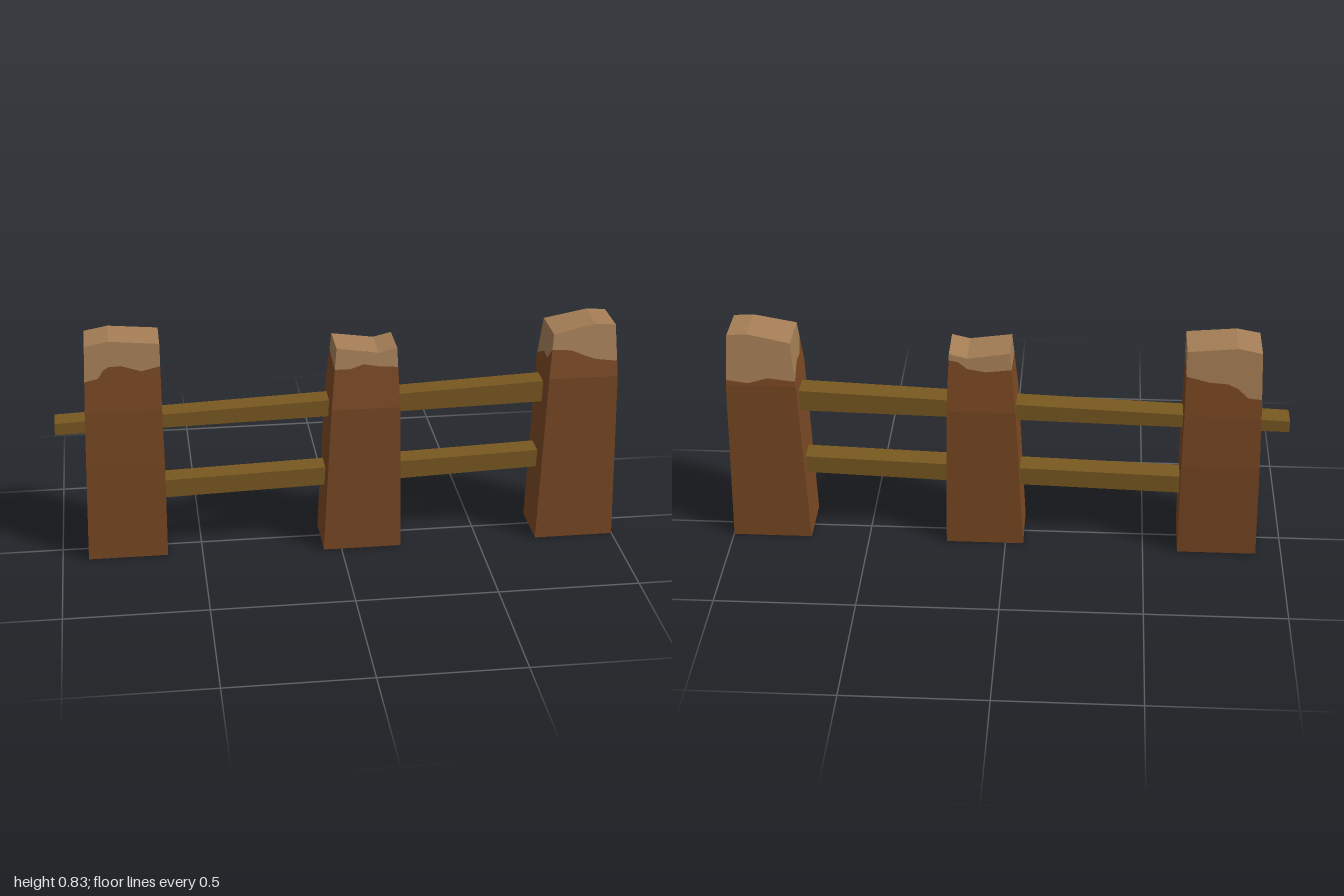
import * as THREE from 'three';

const bark = new THREE.MeshStandardMaterial({ color: 0x7a4823, side: THREE.DoubleSide });
bark.name = 'bark brown';
const cut = new THREE.MeshStandardMaterial({ color: 0xa57e56, side: THREE.DoubleSide });
cut.name = 'cut wood tan';
const plank = new THREE.MeshStandardMaterial({ color: 0x785820 });
plank.name = 'rail ochre';

// Piecewise linear lookup in rows of [key, value, value...]
function sample(rows, k) {
  let i = 0;
  while (i < rows.length - 2 && k > rows[i + 1][0]) i++;
  const a = rows[i], b = rows[i + 1], f = (k - a[0]) / (b[0] - a[0]);
  return a.slice(1).map((v, j) => v + (b[j + 1] - v) * f);
}

// Flat-shaded mesh from a list of quads (a, b, c, d counter-clockwise)
function quadMesh(name, quads, material) {
  const pos = [];
  for (const [a, b, c, d] of quads) pos.push(...a, ...b, ...c, ...a, ...c, ...d);
  const g = new THREE.BufferGeometry();
  g.setAttribute('position', new THREE.Float32BufferAttribute(pos, 3));
  g.computeVertexNormals();
  const mesh = new THREE.Mesh(g, material);
  mesh.name = name;
  return mesh;
}

// Post: sections are [y, left x, right x, back z, front z], top is [u, y] across the
// width, line gives [t, y] of the bark edge on the front, +x, back and -x faces.
function post(name, { sections, top, line }) {
  const at = (side, t, y) => {
    const [l, r, b, f] = sample(sections, y);
    const mix = (p, q) => p + (q - p) * t;
    return [[mix(l, r), y, f], [r, y, mix(f, b)], [mix(r, l), y, b], [l, y, mix(b, f)]][side];
  };
  const topY = (side, t) => sample(top, [t, 1, 1 - t, 0][side])[0];
  const lower = [], upper = [];
  line.forEach((edge, side) => {
    const columns = edge.map(([t, y]) =>
      [...sections.slice(0, -1).map(s => s[0]), y, topY(side, t)].map(h => at(side, t, h)));
    for (let i = 0; i < columns.length - 1; i++) {
      const p = columns[i], q = columns[i + 1], n = p.length - 1;
      for (let j = 0; j < n; j++) (j < n - 1 ? lower : upper).push([p[j], q[j], q[j + 1], p[j + 1]]);
    }
  });
  // Sawn top with its ridge or dip
  for (let i = 0; i < top.length - 1; i++) {
    const [u, y] = top[i], [v, w] = top[i + 1];
    upper.push([at(0, u, y), at(0, v, w), at(2, 1 - v, w), at(2, 1 - u, y)]);
  }
  const group = new THREE.Group();
  group.name = name;
  group.add(quadMesh(name + 'Bark', lower, bark), quadMesh(name + 'Top', upper, cut));
  return group;
}

// Rail: square beam lofted through [x, bottom y, top y]
function rail(name, stations) {
  const quads = [];
  const ring = ([x, b, t]) => [[x, b, 0.043], [x, t, 0.043], [x, t, -0.04], [x, b, -0.04]];
  for (let i = 0; i < stations.length - 1; i++) {
    const p = ring(stations[i]), q = ring(stations[i + 1]);
    for (let j = 0; j < 4; j++) {
      const k = (j + 1) % 4;
      quads.push([p[j], q[j], q[k], p[k]]);
    }
  }
  const [a, b, c, d] = ring(stations[0]);
  const group = new THREE.Group();
  group.name = name;
  group.add(quadMesh(name + 'Beam', quads, plank));
  group.add(quadMesh(name + 'RightEnd', [[a, b, c, d]], cut));
  group.add(quadMesh(name + 'LeftEnd', [ring(stations.at(-1)).reverse()], plank));
  return group;
}

export function createModel() {
  const model = new THREE.Group();
  model.name = 'fence';

  model.add(post('rightPost', {
    sections: [[0, -0.908, -0.625, -0.108, 0.085], [0.37, -0.898, -0.623, -0.122, 0.092],
      [0.57, -0.892, -0.625, -0.115, 0.088], [0.82, -0.882, -0.625, -0.087, 0.067]],
    top: [[0, 0.81], [0.32, 0.826], [1, 0.81]],
    line: [
      [[0, 0.685], [0.18, 0.695], [0.25, 0.725], [0.32, 0.735], [0.48, 0.737], [0.75, 0.715], [1, 0.73]],
      [[0, 0.73], [0.5, 0.72], [1, 0.72]],
      [[0, 0.72], [0.3, 0.7], [0.55, 0.695], [0.68, 0.68], [0.82, 0.645], [1, 0.64]],
      [[0, 0.64], [0.4, 0.67], [0.7, 0.66], [1, 0.685]],
    ],
  }));

  model.add(post('middlePost', {
    sections: [[0, -0.065, 0.215, -0.085, 0.115], [0.55, -0.036, 0.207, -0.09, 0.12],
      [0.76, -0.016, 0.198, -0.06, 0.09]],
    top: [[0, 0.77], [0.7, 0.748], [1, 0.764]],
    line: [
      [[0, 0.695], [0.25, 0.695], [0.45, 0.71], [0.7, 0.7], [1, 0.695]],
      [[0, 0.695], [0.5, 0.71], [1, 0.74]],
      [[0, 0.74], [0.15, 0.735], [0.3, 0.71], [0.6, 0.7], [1, 0.71]],
      [[0, 0.71], [0.5, 0.7], [1, 0.695]],
    ],
  }));

  model.add(post('leftPost', {
    sections: [[0, 0.713, 0.999, -0.08, 0.118], [0.63, 0.736, 0.983, -0.085, 0.125],
      [0.82, 0.754, 0.972, -0.057, 0.095]],
    top: [[0, 0.79], [0.68, 0.82], [1, 0.815]],
    line: [
      [[0, 0.735], [0.3, 0.73], [0.5, 0.71], [0.68, 0.695], [1, 0.685]],
      [[0, 0.685], [0.2, 0.67], [0.4, 0.652], [0.6, 0.65], [0.75, 0.635], [1, 0.632]],
      [[0, 0.65], [0.32, 0.64], [0.6, 0.66], [1, 0.65]],
      [[0, 0.65], [0.4, 0.69], [0.7, 0.685], [1, 0.735]],
    ],
  }));

  model.add(rail('upperRail', [[-1, 0.475, 0.518], [-0.625, 0.483, 0.533],
    [-0.04, 0.495, 0.556], [0.21, 0.5, 0.567], [0.8, 0.512, 0.592]]));
  model.add(rail('lowerRail', [[-0.7, 0.208, 0.275], [0.09, 0.23, 0.298], [0.8, 0.256, 0.321]]));
  return model;
}
